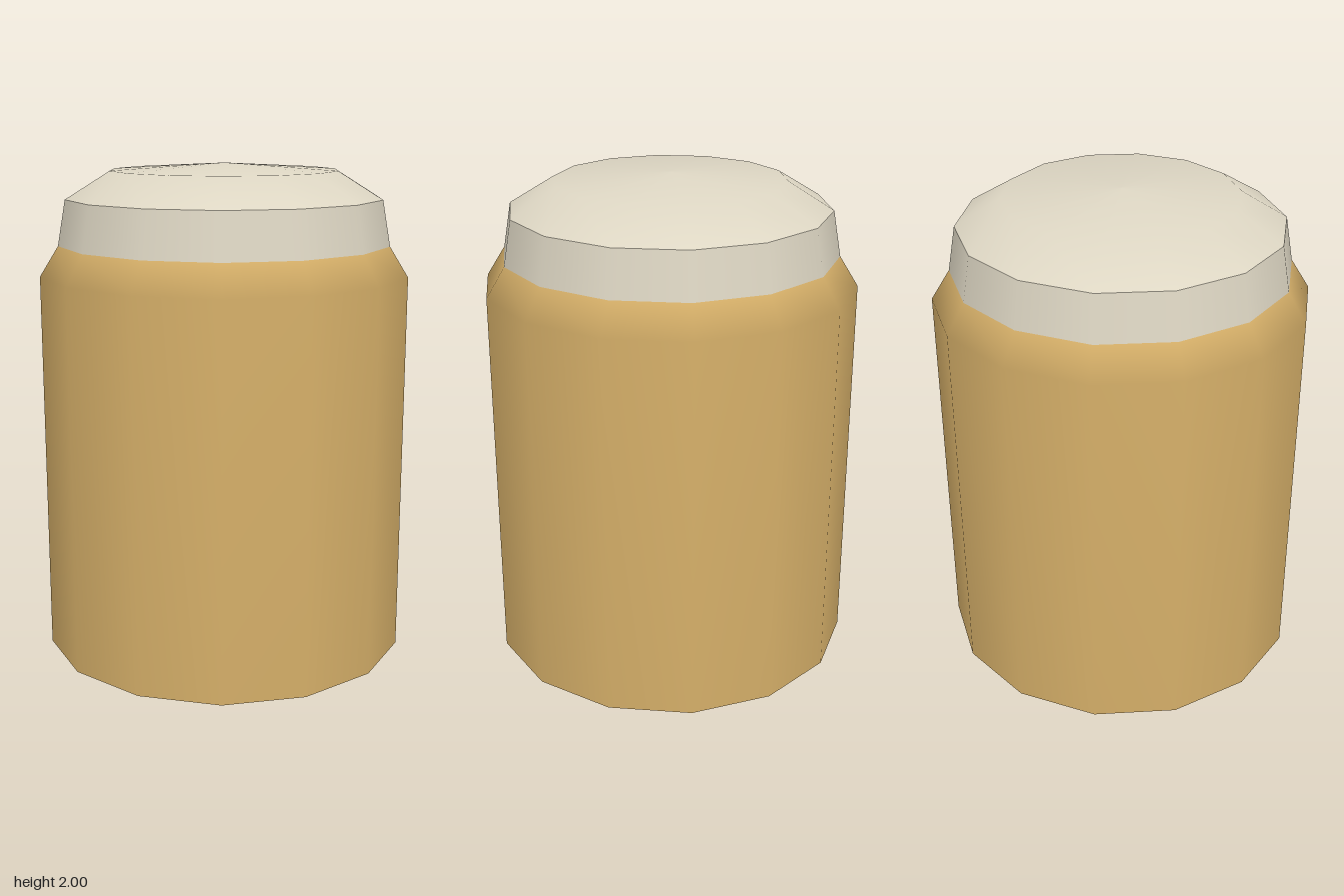
import * as THREE from 'three';

const SIDES = 14;

// Revolves a profile of [radius, height] points, with a corner on the x axis.
// Each call is smooth inside; separate calls meet in a sharp edge.
function turned(name, profile, material) {
  const points = profile.map(([r, y]) => new THREE.Vector2(r, y));
  const mesh = new THREE.Mesh(new THREE.LatheGeometry(points, SIDES, Math.PI / 2), material);
  mesh.name = name;
  return mesh;
}

export function createModel() {
  const tan = new THREE.MeshStandardMaterial({ color: 0xd4ae68 });
  const cream = new THREE.MeshStandardMaterial({ color: 0xddd6c3 });

  // Jar body: flat base, straight wall running softly into a sloped shoulder
  const body = new THREE.Group();
  body.name = 'body';
  body.add(
    turned('base', [[0, 0], [0.75, 0]], tan),
    turned('wall', [[0.75, 0], [0.75, 1.56], [0.675, 1.68]], tan),
  );

  // Lid: tapered rim with a shallow dome on top
  const lid = new THREE.Group();
  lid.name = 'lid';
  lid.add(
    turned('lidRim', [[0.675, 1.68], [0.643, 1.862]], cream),
    turned('lidDome', [[0.643, 1.862], [0.463, 1.972], [0, 2]], cream),
  );

  const model = new THREE.Group();
  model.name = 'jar';
  model.add(body, lid);
  return model;
}
